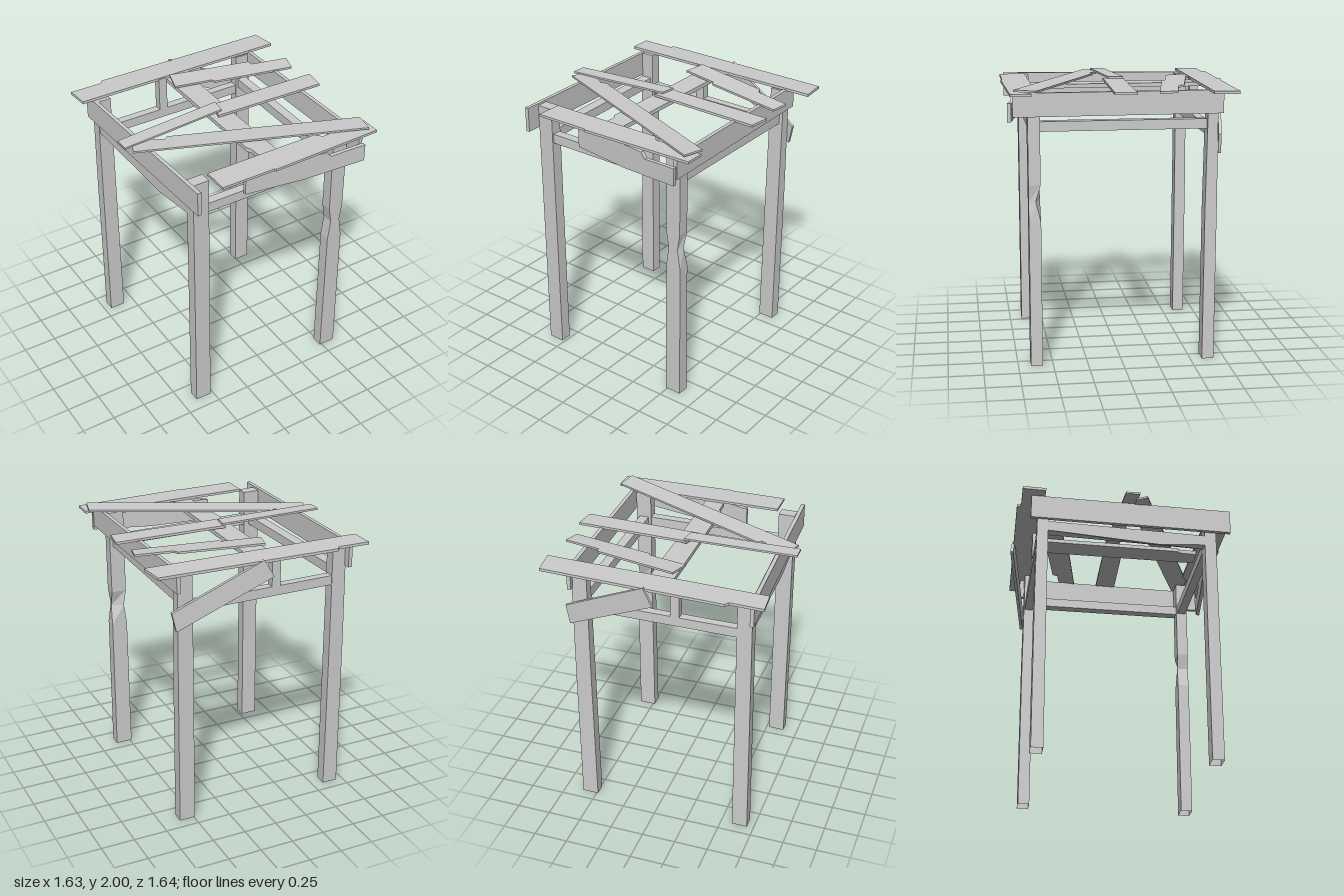
import * as THREE from 'three';

// Double sided because the legs are open at the foot
const wood = new THREE.MeshStandardMaterial({ color: 0xcccccc, side: THREE.DoubleSide });
wood.name = 'paleWood';

// Skin a list of four-cornered rings, with optional end caps
function loft(rings, capStart = true) {
  const pos = [];
  const quad = (a, b, c, d) => pos.push(...a, ...b, ...c, ...a, ...c, ...d);
  for (let k = 0; k + 1 < rings.length; k++) {
    for (let i = 0; i < 4; i++) {
      const j = (i + 1) % 4;
      quad(rings[k][i], rings[k][j], rings[k + 1][j], rings[k + 1][i]);
    }
  }
  if (capStart) quad(...[...rings[0]].reverse());
  quad(...rings[rings.length - 1]);
  const geo = new THREE.BufferGeometry();
  geo.setAttribute('position', new THREE.Float32BufferAttribute(pos, 3));
  geo.computeVertexNormals();
  return geo;
}

// Rectangular ring in a level plane, for legs
const legRing = (y, x0, x1, z0, z1) => [[x1, y, z1], [x1, y, z0], [x0, y, z0], [x0, y, z1]];

// Straight beam between two centre points
function beam(p, q, height, thick) {
  const a = new THREE.Vector3(...p), b = new THREE.Vector3(...q);
  const side = b.clone().sub(a).cross(new THREE.Vector3(0, 1, 0)).setLength(thick / 2);
  const ring = (c) => [[1, -1], [-1, -1], [-1, 1], [1, 1]].map(([s, h]) =>
    [c.x + s * side.x, c.y + h * height / 2, c.z + s * side.z]);
  return loft([ring(a), ring(b)]);
}

// Extruded outline, flat shaded
function slab(points, depth) {
  const shape = new THREE.Shape(points.map(([x, y]) => new THREE.Vector2(x, y)));
  return new THREE.ExtrudeGeometry(shape, { depth, bevelEnabled: false });
}

// Move each vertex by a rule
function shift(geo, rule) {
  const p = geo.attributes.position;
  for (let i = 0; i < p.count; i++) {
    const v = new THREE.Vector3().fromBufferAttribute(p, i);
    rule(v);
    p.setXYZ(i, v.x, v.y, v.z);
  }
  geo.computeVertexNormals();
  return geo;
}

// Lying plank: outline in x and z, underside height given by a rule
function plank(points, thick, height) {
  const geo = slab(points.map(([x, z]) => [x, -z]), thick).rotateX(-Math.PI / 2);
  return shift(geo, (v) => { v.y += height(v.x, v.z); });
}

export function createModel() {
  const model = new THREE.Group();
  const add = (name, geo) => {
    const mesh = new THREE.Mesh(geo, wood);
    mesh.name = name;
    model.add(mesh);
  };

  // Legs; the front left one is chipped at mid height
  add('frontRightLeg', loft([legRing(0, -0.64, -0.52, 0.575, 0.66), legRing(1.955, -0.64, -0.52, 0.575, 0.66)], false));
  add('backRightLeg', loft([
    legRing(0, -0.70, -0.585, -0.67, -0.585),
    legRing(1.2, -0.695, -0.585, -0.675, -0.59),
    legRing(1.95, -0.69, -0.585, -0.67, -0.59)], false));
  add('backLeftLeg', loft([
    legRing(0, 0.49, 0.61, -0.67, -0.585),
    legRing(1.1, 0.495, 0.61, -0.675, -0.59),
    legRing(1.95, 0.495, 0.605, -0.675, -0.605)], false));
  add('frontLeftLeg', loft([
    legRing(0, 0.485, 0.61, 0.575, 0.66),
    legRing(1.05, 0.49, 0.608, 0.575, 0.66),
    [[0.585, 1.2, 0.66], [0.6, 1.2, 0.61], [0.51, 1.2, 0.575], [0.51, 1.2, 0.66]],
    legRing(1.32, 0.49, 0.603, 0.575, 0.66),
    legRing(1.955, 0.49, 0.605, 0.575, 0.66)], false));

  // Stretcher rails between the legs
  add('frontRail', beam([-0.54, 1.725, 0.615], [0.51, 1.725, 0.615], 0.07, 0.065));
  add('backRail', beam([-0.6, 1.672, -0.638], [0.51, 1.672, -0.638], 0.07, 0.06));
  add('leftRail', beam([0.545, 1.725, -0.6], [0.545, 1.725, 0.59], 0.07, 0.07));
  const saggingRing = (z, x, sag) =>
    [[x - 0.04, 1.69 - sag, z], [x + 0.04, 1.69, z], [x + 0.04, 1.76, z], [x - 0.04, 1.76, z]];
  add('rightRail', loft([
    saggingRing(-0.6, -0.645, 0.005), saggingRing(0.23, -0.615, 0.04), saggingRing(0.59, -0.6, 0.005)]));

  // Side aprons
  add('leftApron', beam([0.612, 1.885, -0.71], [0.64, 1.885, 0.765], 0.165, 0.028));
  add('rightApron', beam([-0.7, 1.86, -0.72], [-0.655, 1.878, 0.765], 0.18, 0.028));

  // Broken front apron swinging outward
  const frontApron = slab([
    [-0.25, 1.755], [0.2, 1.747], [0.655, 1.772], [0.655, 1.9],
    [0.39, 1.88], [0.36, 1.92], [-0.1, 1.925], [-0.25, 1.91]], 0.028);
  add('frontApron', shift(frontApron, (v) => { v.z += 0.66 + (v.x + 0.25) * 0.125; }));

  // Loose back apron hanging at a slant
  const backApron = slab([[0.625, 1.52], [0.655, 1.66], [0.03, 1.98], [-0.04, 1.855]], 0.022);
  add('backApron', shift(backApron, (v) => { v.z += -0.69 - (0.65 - v.x) * 0.2; }));

  // Short post and centre joist under the top
  add('backPost', new THREE.BoxGeometry(0.065, 0.27, 0.06).translate(-0.142, 1.83, -0.638));
  add('centreJoist', plank([
    [-0.11, -0.66], [0.06, -0.66], [0.06, 0.63], [-0.08, 0.63], [-0.085, 0.5], [-0.105, 0.47]],
  0.03, () => 1.925));

  // Broken top planks
  add('backPlank', plank([
    [-0.8, -0.79], [-0.56, -0.785], [-0.54, -0.815], [0.79, -0.785], [0.81, -0.6], [-0.79, -0.62]],
  0.02, (x, z) => 1.956 + (z + 0.6) * 0.02 + x * 0.006));
  add('leftBackPlank', plank([
    [-0.1, -0.58], [0.5, -0.45], [0.51, -0.41], [0.78, -0.355], [0.75, -0.235],
    [0.15, -0.35], [0.14, -0.375], [-0.14, -0.43]],
  0.015, (x, z) => 1.96 - (z + 0.235) * 0.07));
  add('leftMiddlePlank', plank([[-0.03, -0.1], [0.01, -0.09], [0.8, -0.075], [0.78, 0.08], [-0.07, 0.055]],
    0.018, () => 1.962));
  add('rightMiddlePlank', plank([[-0.82, -0.04], [-0.01, -0.09], [-0.025, 0.02], [-0.82, 0.065]],
    0.014, (x) => 1.982 + (x + 0.01) * 0.025));
  add('diagonalPlank', plank([
    [-0.79, 0.125], [-0.755, 0.05], [-0.62, 0.04], [-0.53, 0.1], [-0.5, 0.08], [0.745, 0.61], [0.71, 0.76]],
  0.014, (x, z) => 1.951 + z * 0.045));
  add('frontPlank', plank([
    [-0.5, 0.61], [0.36, 0.605], [0.4, 0.65], [0.76, 0.64], [0.76, 0.785], [-0.09, 0.81], [-0.1, 0.8], [-0.5, 0.8]],
  0.018, () => 1.957));

  return model;
}
